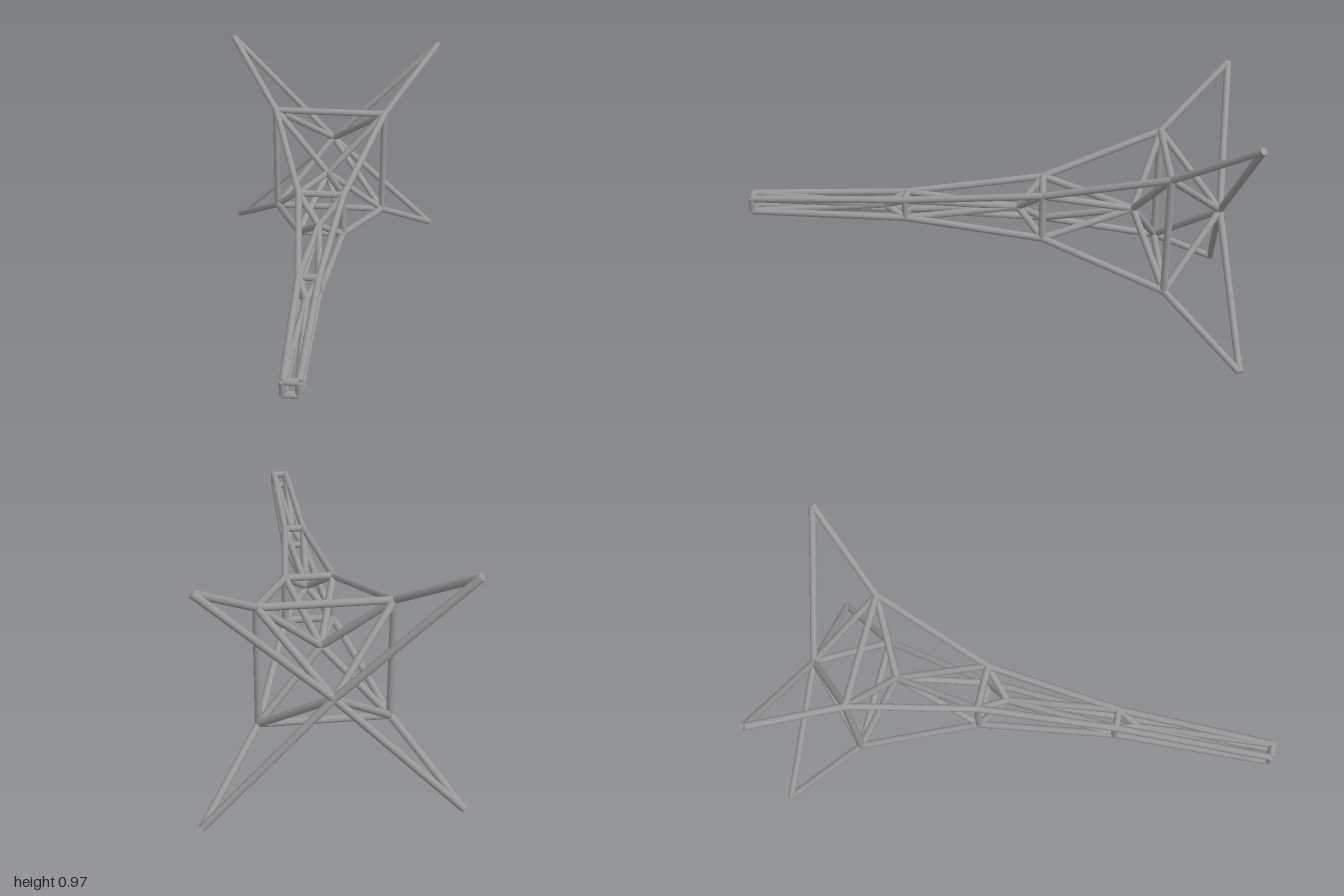
import * as THREE from 'three';

const R = 0.0145; // tube radius
const CY = 0.482; // height of the long axis

export function createModel() {
  const group = new THREE.Group();
  const steel = new THREE.MeshStandardMaterial({ color: 0x999999 });
  steel.name = 'grey steel';

  // One round tube between two points
  function strut(name, a, b) {
    const dir = b.clone().sub(a);
    const mesh = new THREE.Mesh(new THREE.CylinderGeometry(R, R, dir.length(), 10), steel);
    mesh.position.copy(a).add(b).multiplyScalar(0.5);
    mesh.quaternion.setFromUnitVectors(new THREE.Vector3(0, 1, 0), dir.normalize());
    mesh.name = name;
    group.add(mesh);
  }

  // Square stations along the mast: [z, half width]
  const stations = [[0.985, 0.028], [0.35, 0.04], [-0.21, 0.095], [-0.7, 0.245], [-0.99, 0.472]];
  // Centre node of each bay, where the inner braces meet
  const nodes = [0.44, -0.11, -0.58, -0.935];
  const signs = [[1, 1], [-1, 1], [-1, -1], [1, -1]];
  const corners = stations.map(([z, h]) =>
    signs.map(([sx, sy]) => new THREE.Vector3(sx * h, CY + sy * h, z)));

  for (let bay = 0; bay < 4; bay++) {
    const node = new THREE.Vector3(0, CY, nodes[bay]);
    for (let i = 0; i < 4; i++) {
      const near = corners[bay][i], far = corners[bay + 1][i];
      strut('squareFrameBar', near, corners[bay][(i + 1) % 4]);
      strut('legSegment', near, far);
      strut('longBrace', near, node);
      strut('shortBrace', far, node);
    }
  }
  return group;
}
